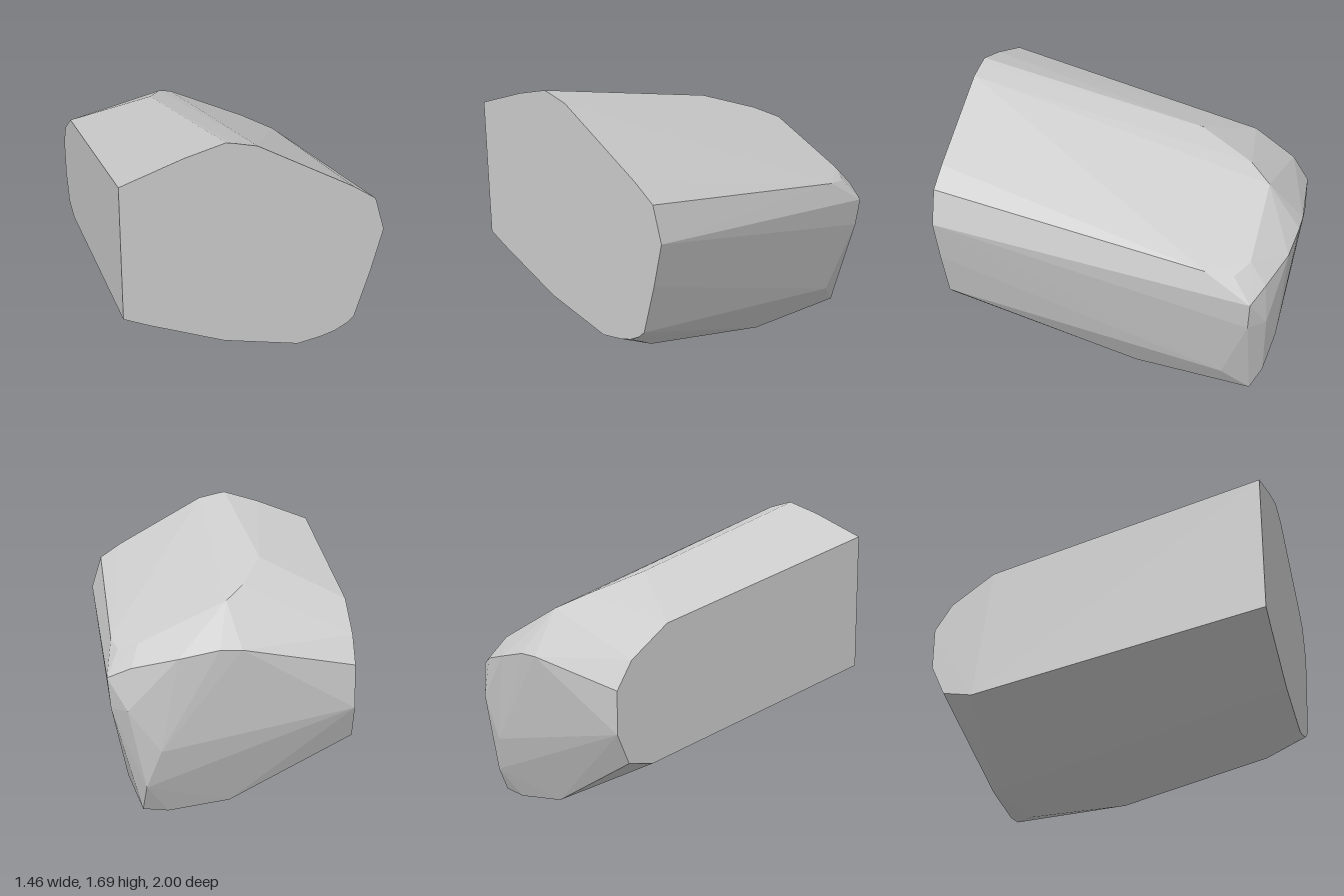
import * as THREE from 'three';
import { ConvexGeometry } from 'three/addons/geometries/ConvexGeometry.js';

const at = (list, place) => list.map(([a, b, c]) => place(a, b, c));
const v = (x, y, z) => new THREE.Vector3(x, y, z);

export function createModel() {
  // Flat front face: x, y at z = 1
  const front = at([
    [-0.73, 1.51], [-0.39, 1.63], [-0.17, 1.69], [-0.12, 1.68], [0, 1.65],
    [0.54, 1.34], [0.67, 1.25], [0.73, 1.05], [0.67, 0.79], [0.59, 0.5],
    [0.55, 0.46], [0.48, 0.42], [0.4, 0.395], [0.26, 0.37],
    [-0.17, 0.47], [-0.59, 0.645], [-0.73, 0.71],
  ], (x, y) => v(x, y, 1));

  // Flat side wall: z, y at x = -0.73
  const wall = at([
    [-0.68, 0.405], [-0.85, 0.436], [-0.93, 0.605],
    [-0.93, 0.84], [-0.83, 0.99], [-0.58, 1.157],
  ], (z, y) => v(-0.73, y, z));

  // Top ridge sloping to the back
  const ridge = at([[-0.27, 1.37, -0.34], [-0.14, 1.25, -0.67], [-0.04, 1.18, -0.8]], v);

  // Rounded side and its shoulder
  const side = at([
    [0.59, 0.94, -0.57], [0.55, 0.91, -0.73], [0.44, 0.95, -0.8],
    [0.61, 0.77, -0.84], [0.59, 0.6, -0.83], [0.5, 0.18, -0.67],
  ], v);

  // Blunt faceted back end
  const back = at([
    [-0.11, 0.94, -1], [0.01, 0.94, -1], [0.23, 0.89, -0.98],
    [0.48, 0.83, -0.9], [0.3, 0.77, -0.96], [0.5, 0.6, -0.92],
    [0.32, 0.38, -0.95], [0.4, 0.17, -0.9],
  ], v);

  // Underside rising to the front
  const underside = at([
    [0.42, 0.03, -0.83], [0.28, 0.015, -0.82], [0.26, 0, -0.67],
    [-0.06, 0.065, -0.8], [0.4, 0.065, -0.12], [0.4, 0.28, 0.77],
  ], v);

  const geometry = new ConvexGeometry([...front, ...wall, ...ridge, ...side, ...back, ...underside]);
  const body = new THREE.Mesh(
    geometry,
    new THREE.MeshStandardMaterial({ color: 0xcccccc, flatShading: true }),
  );
  body.name = 'facetedBody';

  const group = new THREE.Group();
  group.name = 'facetedBlock';
  group.add(body);
  return group;
}
